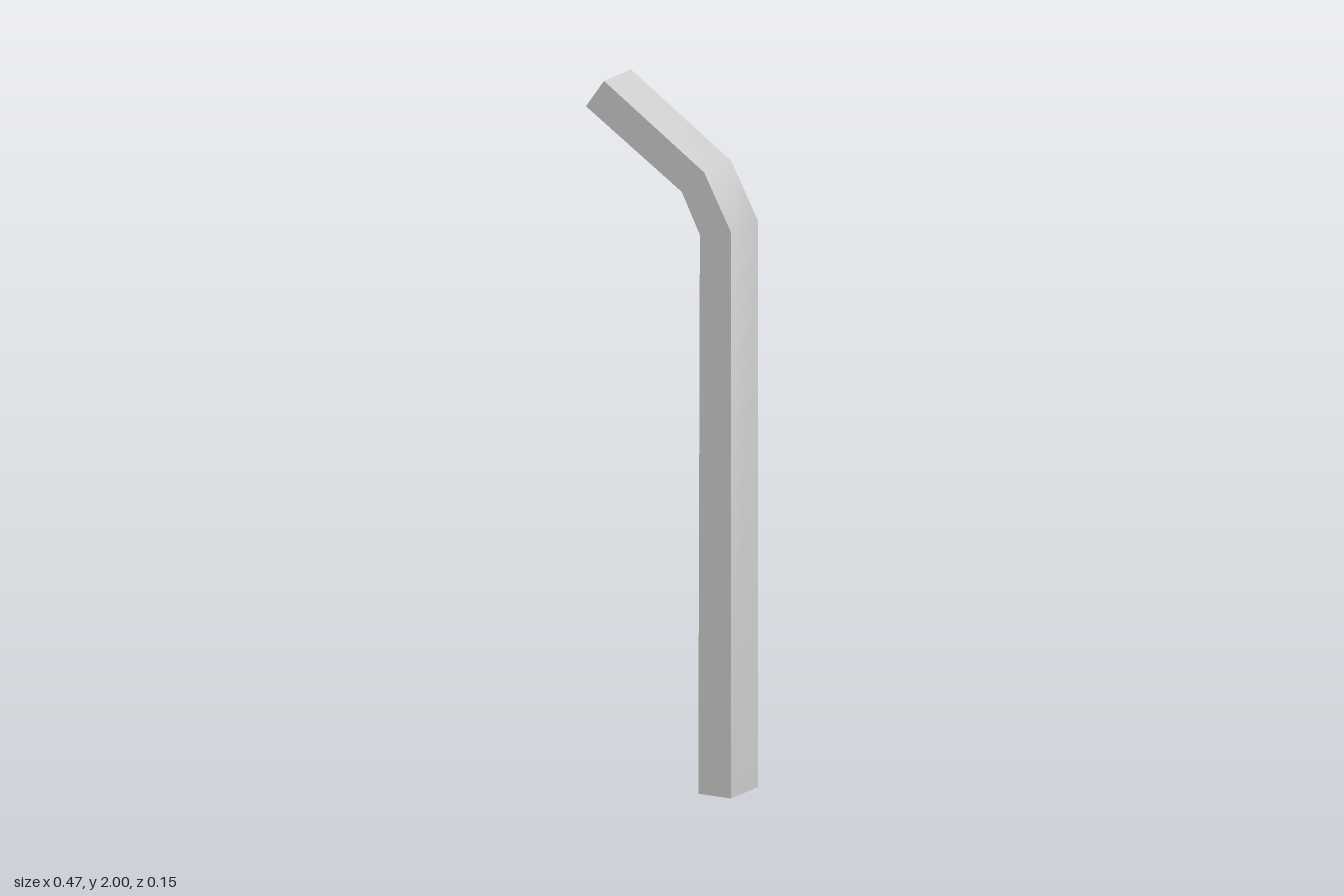
import * as THREE from 'three';
import { toCreasedNormals } from 'three/addons/utils/BufferGeometryUtils.js';

// Square bent tube: closed at the upper end, open at the foot
const HALF_DEPTH = 0.074;

// Each section: outer x, y, then inner x, y
const SECTIONS = [
  [0.233, 0, 0.128, 0],
  [0.233, 1.62, 0.133, 1.6],
  [0.147, 1.78, 0.075, 1.715],
  [-0.175, 2, -0.233, 1.92],
];

function bentTubeGeometry() {
  const rings = SECTIONS.map(([ox, oy, ix, iy]) => [
    [ox, oy, HALF_DEPTH],
    [ox, oy, -HALF_DEPTH],
    [ix, iy, -HALF_DEPTH],
    [ix, iy, HALF_DEPTH],
  ]);
  const positions = [];
  const quad = (a, b, c, d) => positions.push(...a, ...b, ...c, ...a, ...c, ...d);

  // Walls between neighbouring sections
  for (let s = 0; s < rings.length - 1; s++) {
    for (let i = 0; i < 4; i++) {
      const j = (i + 1) % 4;
      quad(rings[s][i], rings[s][j], rings[s + 1][j], rings[s + 1][i]);
    }
  }
  // End cap of the arm
  quad(...rings[rings.length - 1]);

  const geometry = new THREE.BufferGeometry();
  geometry.setAttribute('position', new THREE.Float32BufferAttribute(positions, 3));
  // Bends shade smoothly, the long edges stay sharp
  return toCreasedNormals(geometry, 0.7);
}

export function createModel() {
  const group = new THREE.Group();
  group.name = 'bentPost';
  const material = new THREE.MeshStandardMaterial({ color: 0xcccccc, side: THREE.DoubleSide });
  const post = new THREE.Mesh(bentTubeGeometry(), material);
  post.name = 'postWithAngledArm';
  group.add(post);
  return group;
}
